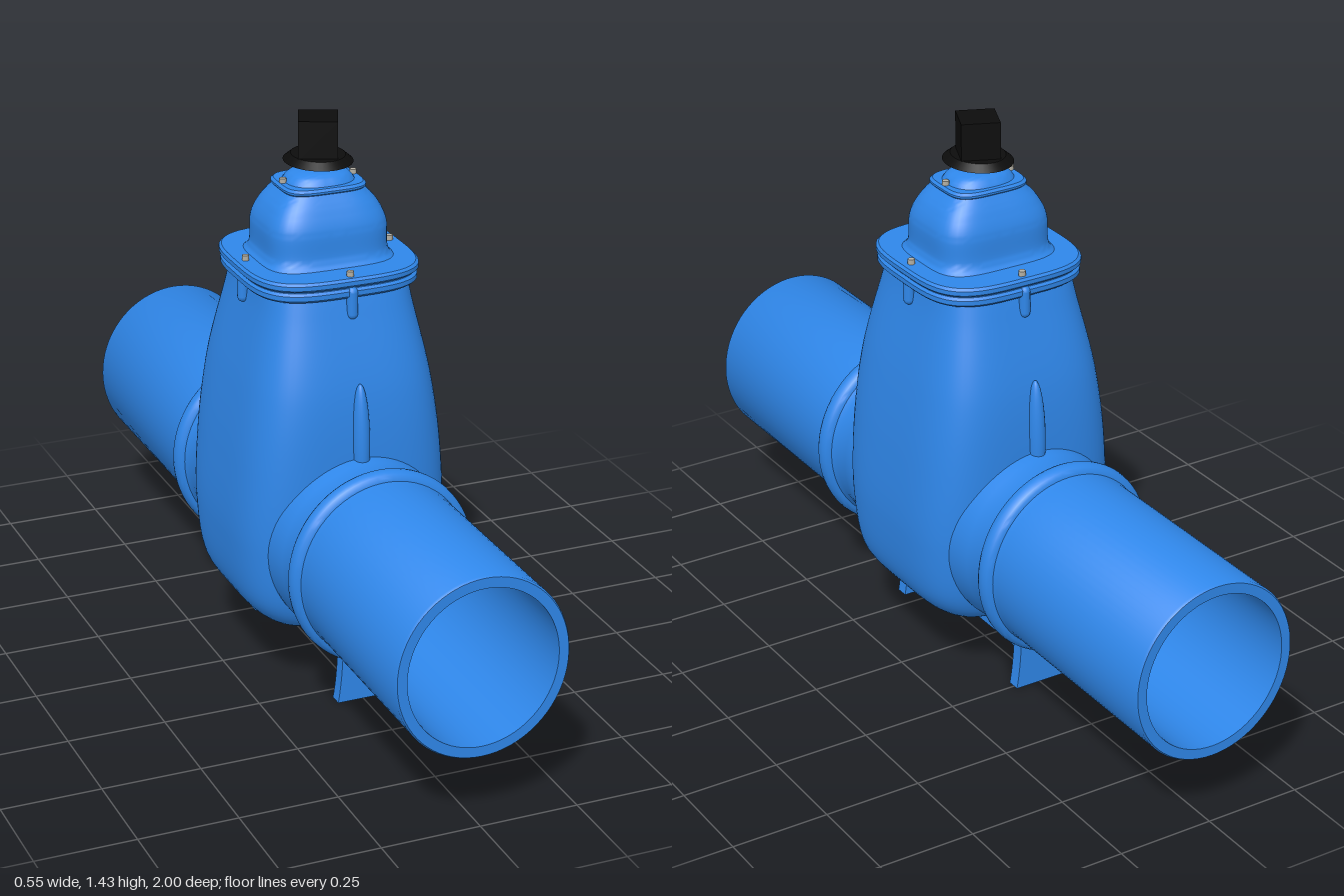
import * as THREE from 'three';
import { toCreasedNormals } from 'three/addons/utils/BufferGeometryUtils.js';

const blue = new THREE.MeshStandardMaterial({ color: 0x2f87ea });
const black = new THREE.MeshStandardMaterial({ color: 0x0c0c0c });
const steel = new THREE.MeshStandardMaterial({ color: 0xb8b4a8 });
const CZ = 0.03;    // centre of the valve body along the pipe
const AXIS = 0.41;  // height of the pipe axis
const SQUASH = 0.95; // pipe is slightly narrower than tall

// Loft rounded-rectangle rings given as [halfX, y, halfZ]; optional skip(x, y) leaves an opening
function loft(rows, power, sides, skip) {
  const pos = [], index = [];
  for (const [hx, y, hz] of rows) {
    for (let j = 0; j < sides; j++) {
      const t = (j / sides) * Math.PI * 2, c = Math.cos(t), s = Math.sin(t);
      const r = (Math.abs(c / hx) ** power + Math.abs(s / hz) ** power) ** (-1 / power);
      pos.push(r * c, y, r * s);
    }
  }
  const cut = (i) => skip && skip(pos[i * 3], pos[i * 3 + 1]);
  const tri = (a, b, c) => { if (!cut(a) && !cut(b) && !cut(c)) index.push(a, b, c); };
  for (let i = 0; i < rows.length - 1; i++) {
    for (let j = 0; j < sides; j++) {
      const k = (j + 1) % sides;
      const a = i * sides + j, b = i * sides + k, c = a + sides, d = b + sides;
      tri(a, c, b);
      tri(b, c, d);
    }
  }
  const g = new THREE.BufferGeometry();
  g.setAttribute('position', new THREE.Float32BufferAttribute(pos, 3));
  g.setIndex(index);
  return toCreasedNormals(g, 0.6);
}

// Closed plate between two heights
function plate(hx, hz, y0, y1, power) {
  const e = 0.006;
  return loft([[0.001, y0, 0.001], [hx - e, y0, hz - e], [hx, y0 + e, hz],
    [hx, y1 - e, hz], [hx - e, y1, hz - e], [0.001, y1, 0.001]], power, 80);
}

// Smooth rows through a few key sections
function smoothRows(keys, n) {
  const curve = new THREE.CatmullRomCurve3(keys.map((k) => new THREE.Vector3(...k)), false, 'centripetal');
  return curve.getSpacedPoints(n).map((p) => [Math.max(p.x, 0.001), p.y, Math.max(p.z, 0.001)]);
}

export function createModel() {
  const model = new THREE.Group();
  const add = (name, geometry, material, x = 0, y = 0, z = 0) => {
    const mesh = new THREE.Mesh(geometry, material);
    mesh.name = name;
    mesh.position.set(x, y, z);
    model.add(mesh);
    return mesh;
  };

  // Through pipe: hubs, beads and an open bore in one turned profile
  const profile = [[0.2, -1], [0.226, -1], [0.23, -0.994], [0.23, -0.41]];
  const bead = (z) => {
    for (let i = 0; i <= 8; i++) {
      const a = (i / 8) * Math.PI;
      profile.push([0.232 + 0.021 * Math.sin(a), z - 0.026 * Math.cos(a)]);
    }
  };
  bead(CZ - 0.395);
  profile.push([0.225, -0.32], [0.231, -0.27], [0.24, -0.22], [0.24, 0.28], [0.231, 0.33], [0.225, 0.38]);
  bead(CZ + 0.395);
  profile.push([0.23, 0.47], [0.23, 0.994], [0.226, 1], [0.2, 1], [0.2, -1]);
  const pipe = new THREE.LatheGeometry(profile.map((p) => new THREE.Vector2(...p)), 72);
  pipe.rotateX(Math.PI / 2).scale(SQUASH, 1, 1);
  add('pipe', toCreasedNormals(pipe, 0.7), blue, 0, AXIS, 0);

  // Valve body, left open where the bore passes through
  const bodyRows = smoothRows([[0.001, 0.172, 0.001], [0.15, 0.174, 0.19], [0.205, 0.195, 0.228],
    [0.25, 0.25, 0.25], [0.272, 0.4, 0.268], [0.263, 0.6, 0.275], [0.236, 0.8, 0.262],
    [0.194, 1.0, 0.215], [0.186, 1.055, 0.2]], 76);
  const inBore = (x, y) => Math.hypot(x / SQUASH, y - AXIS) < 0.208;
  add('body', loft(bodyRows, 4.2, 128, inBore), blue, 0, 0, CZ);

  // Flange pair between body and bonnet
  add('bodyFlange', plate(0.215, 0.22, 1.04, 1.064, 3.6), blue, 0, 0, CZ);
  add('bonnetFlange', plate(0.218, 0.222, 1.067, 1.09, 3.6), blue, 0, 0, CZ);

  // Bonnet with its top cover
  add('bonnet', loft(smoothRows([[0.172, 1.085, 0.15], [0.156, 1.105, 0.134], [0.152, 1.18, 0.126],
    [0.132, 1.225, 0.108], [0.1, 1.262, 0.086]], 24), 4, 80), blue, 0, 0, CZ);
  add('topCover', plate(0.106, 0.09, 1.258, 1.275, 4), blue, 0, 0, CZ);
  add('topDome', loft(smoothRows([[0.09, 1.27, 0.075], [0.075, 1.29, 0.062], [0.045, 1.301, 0.04],
    [0.001, 1.303, 0.001]], 14), 2.5, 48), blue, 0, 0, CZ);

  // Stem and operating cap
  add('stem', new THREE.CylinderGeometry(0.026, 0.026, 0.05, 32), steel, 0, 1.315, CZ);
  const skirt = add('capSkirt', new THREE.CylinderGeometry(0.07, 0.09, 0.016, 40), black, 0, 1.33, CZ);
  skirt.scale.set(0.93, 1, 1.07);
  const cap = add('capSquare', new THREE.BoxGeometry(0.096, 0.097, 0.096), black, 0, 1.383, CZ);
  cap.rotation.y = -0.4;

  // Bolts and their lugs at the middle of every flange side
  for (let i = 0; i < 4; i++) {
    const a = (i * Math.PI) / 2, sx = Math.sin(a), sz = Math.cos(a);
    add('flangeBolt', new THREE.CylinderGeometry(0.009, 0.009, 0.02, 6), steel, sx * 0.19, 1.093, CZ + sz * 0.2);
    const lug = add('flangeLug', new THREE.CapsuleGeometry(0.014, 0.055, 4, 12), blue,
      sx * 0.198, 1.026, CZ + sz * 0.212);
    lug.rotation.y = a;
  }
  for (const s of [-1, 1]) {
    add('coverBolt', new THREE.CylinderGeometry(0.009, 0.009, 0.018, 6), steel, s * 0.092, 1.277, CZ);

    // Tapered stiffening rib above each hub
    const rib = add('bodyRib', new THREE.SphereGeometry(1, 20, 24), blue, 0, 0.69, CZ + s * 0.268);
    rib.scale.set(0.022, 0.145, 0.026);
    rib.rotation.x = -s * 0.04;
  }

  // Flared feet
  const foot = new THREE.Shape();
  foot.moveTo(-0.068, 0);
  foot.lineTo(0.068, 0);
  foot.quadraticCurveTo(0.054, 0.08, 0.055, 0.195);
  foot.lineTo(-0.055, 0.195);
  foot.quadraticCurveTo(-0.054, 0.08, -0.068, 0);
  const footGeometry = new THREE.ExtrudeGeometry(foot, { depth: 0.034, bevelEnabled: false });
  for (const s of [-1, 1]) add('foot', footGeometry, blue, 0, 0, CZ + s * 0.277 - 0.017);

  // Web between the feet, with two holes
  const web = new THREE.Shape();
  web.moveTo(-0.25, 0.195);
  web.lineTo(-0.245, 0.08);
  web.quadraticCurveTo(-0.243, 0.065, -0.225, 0.065);
  web.lineTo(0.225, 0.065);
  web.quadraticCurveTo(0.243, 0.065, 0.245, 0.08);
  web.lineTo(0.25, 0.195);
  for (const s of [-1, 1]) web.holes.push(new THREE.Path().absarc(s * 0.183, 0.115, 0.021, 0, Math.PI * 2, true));
  const webGeometry = new THREE.ExtrudeGeometry(web, { depth: 0.04, bevelEnabled: false, curveSegments: 20 });
  webGeometry.rotateY(-Math.PI / 2).translate(0.02, 0, 0);
  add('footWeb', webGeometry, blue, 0, 0, CZ);

  return model;
}
